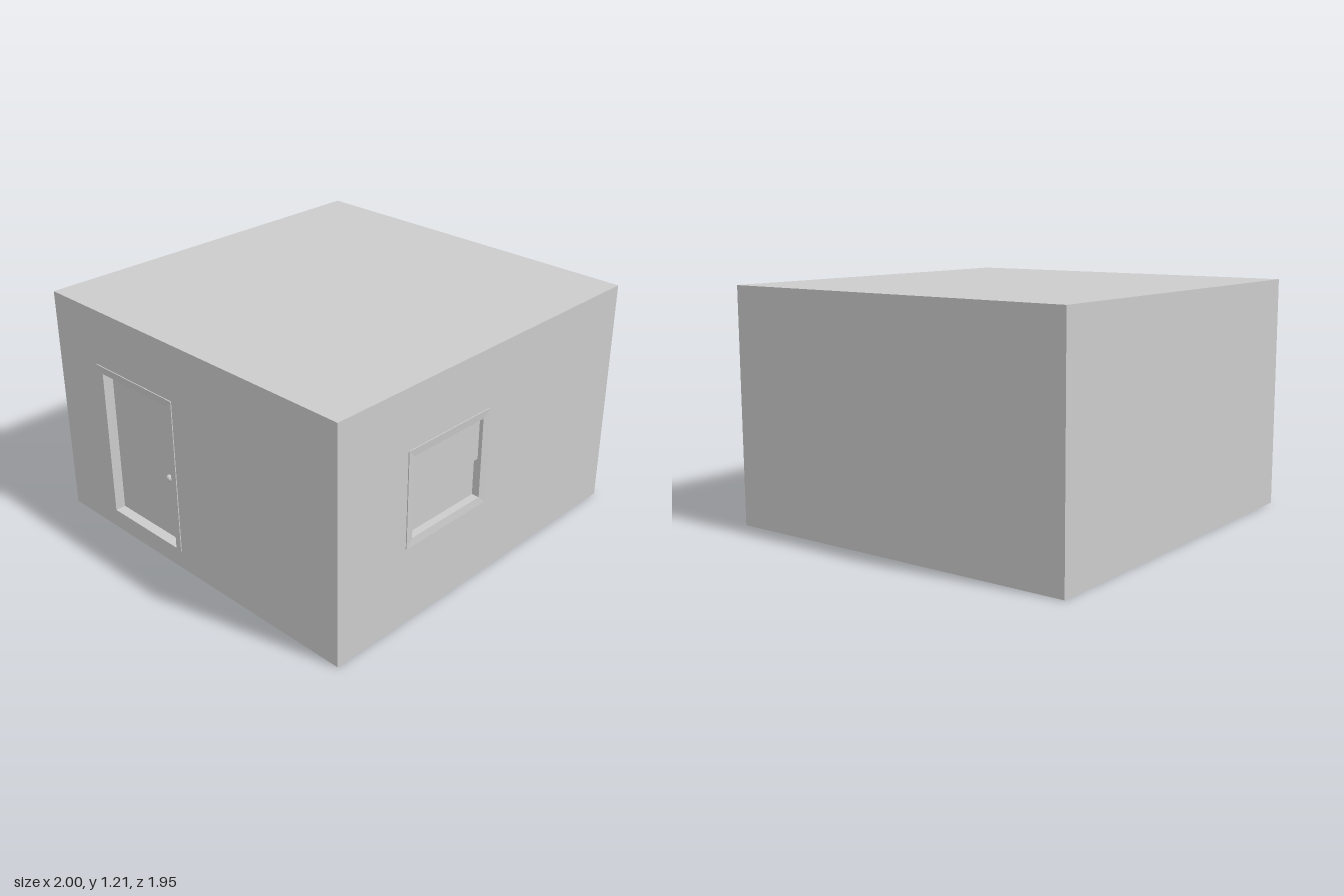
import * as THREE from 'three';

const grey = new THREE.MeshStandardMaterial({ color: 0xcccccc, flatShading: true });
const thinGrey = new THREE.MeshStandardMaterial({ color: 0xcccccc, flatShading: true, side: THREE.DoubleSide });

const X0 = -0.995, X1 = 1, Z0 = -0.973, Z1 = 0.968; // outer wall faces
const H = 1.21, T = 0.06, SLAB = 0.012, TRIM = 0.005;

function add(parent, name, geometry, material = grey) {
  const mesh = new THREE.Mesh(geometry, material);
  mesh.name = name;
  parent.add(mesh);
  return mesh;
}

// Box given by its minimum and maximum corners
function box(parent, name, [x0, y0, z0], [x1, y1, z1]) {
  const mesh = add(parent, name, new THREE.BoxGeometry(x1 - x0, y1 - y0, z1 - z0));
  mesh.position.set((x0 + x1) / 2, (y0 + y1) / 2, (z0 + z1) / 2);
  return mesh;
}

function rectangle(Kind, u0, v0, u1, v1) {
  return new Kind([[u0, v0], [u1, v0], [u1, v1], [u0, v1]].map(p => new THREE.Vector2(...p)));
}

// Wall with one opening; its outer face lies on local z = 0
function wallWithOpening(parent, name, u0, u1, opening) {
  const shape = rectangle(THREE.Shape, u0, SLAB, u1, H - SLAB);
  shape.holes.push(rectangle(THREE.Path, ...opening));
  const geometry = new THREE.ExtrudeGeometry(shape, { depth: T, bevelEnabled: false });
  geometry.translate(0, 0, -T);
  add(parent, name, geometry);
}

// Mitred casing, thick at the outer edge and sloping in toward the opening
function casing(parent, name, outer, inner, closed) {
  const pos = [];
  const quad = (a, b, c, d) => pos.push(...a, ...b, ...c, ...a, ...c, ...d);
  const n = outer.length;
  for (let i = 0; i < (closed ? n : n - 1); i++) {
    const j = (i + 1) % n;
    const [a, b] = [outer[i], outer[j]];
    quad([...a, TRIM], [...b, TRIM], [...inner[j], 0.001], [...inner[i], 0.001]);
    quad([...a, 0], [...b, 0], [...b, TRIM], [...a, TRIM]);
  }
  if (!closed) {
    for (const i of [0, n - 1]) pos.push(...outer[i], 0, ...outer[i], TRIM, ...inner[i], 0.001);
  }
  const geometry = new THREE.BufferGeometry();
  geometry.setAttribute('position', new THREE.Float32BufferAttribute(pos, 3));
  geometry.computeVertexNormals();
  add(parent, name, geometry, thinGrey);
}

export function createModel() {
  const model = new THREE.Group();
  model.name = 'room';

  // Shell
  box(model, 'floor', [X0, 0, Z0], [X1, SLAB, Z1]);
  box(model, 'roof', [X0, H - SLAB, Z0], [X1, H, Z1]);
  box(model, 'backWall', [X0, SLAB, Z0], [X1, H - SLAB, Z0 + T]);
  box(model, 'plainSideWall', [X1 - T, SLAB, Z0 + T], [X1, H - SLAB, Z1 - T]);

  // Front wall with a two-pane sash window
  const front = new THREE.Group();
  front.name = 'windowWall';
  front.position.z = Z1;
  model.add(front);
  wallWithOpening(front, 'frontWall', X0, X1, [-0.523, 0.445, -0.047, 0.865]);
  casing(front, 'windowCasing',
    [[-0.563, 0.405], [-0.007, 0.405], [-0.007, 0.905], [-0.563, 0.905]],
    [[-0.523, 0.445], [-0.047, 0.445], [-0.047, 0.865], [-0.523, 0.865]], true);
  box(front, 'upperSash', [-0.523, 0.645, -0.04], [-0.047, 0.865, -0.02]);
  box(front, 'lowerSash', [-0.523, 0.445, -0.06], [-0.047, 0.665, -0.04]);

  // Side wall with the door; local x runs along world z, local z points outward
  const side = new THREE.Group();
  side.name = 'doorWall';
  side.position.x = X0;
  side.rotation.y = -Math.PI / 2;
  model.add(side);
  wallWithOpening(side, 'doorSideWall', Z0 + T, Z1 - T, [-0.62, 0.1, -0.13, 0.88]);
  casing(side, 'doorCasing',
    [[-0.09, 0.1], [-0.09, 0.92], [-0.66, 0.92], [-0.66, 0.1]],
    [[-0.13, 0.1], [-0.13, 0.88], [-0.62, 0.88], [-0.62, 0.1]], false);
  box(side, 'door', [-0.62, 0.1, -0.08], [-0.13, 0.88, -0.055]);

  // Door knob on a short stem
  const knob = new THREE.Group();
  knob.name = 'doorKnob';
  knob.position.set(-0.18, 0.465, -0.055);
  side.add(knob);
  const smooth = new THREE.MeshStandardMaterial({ color: 0xcccccc });
  const stem = add(knob, 'knobStem', new THREE.CylinderGeometry(0.008, 0.008, 0.02, 16), smooth);
  stem.rotation.x = Math.PI / 2;
  stem.position.z = 0.01;
  const ball = add(knob, 'knobBall', new THREE.SphereGeometry(0.018, 20, 14), smooth);
  ball.scale.z = 0.8;
  ball.position.z = 0.03;

  return model;
}
